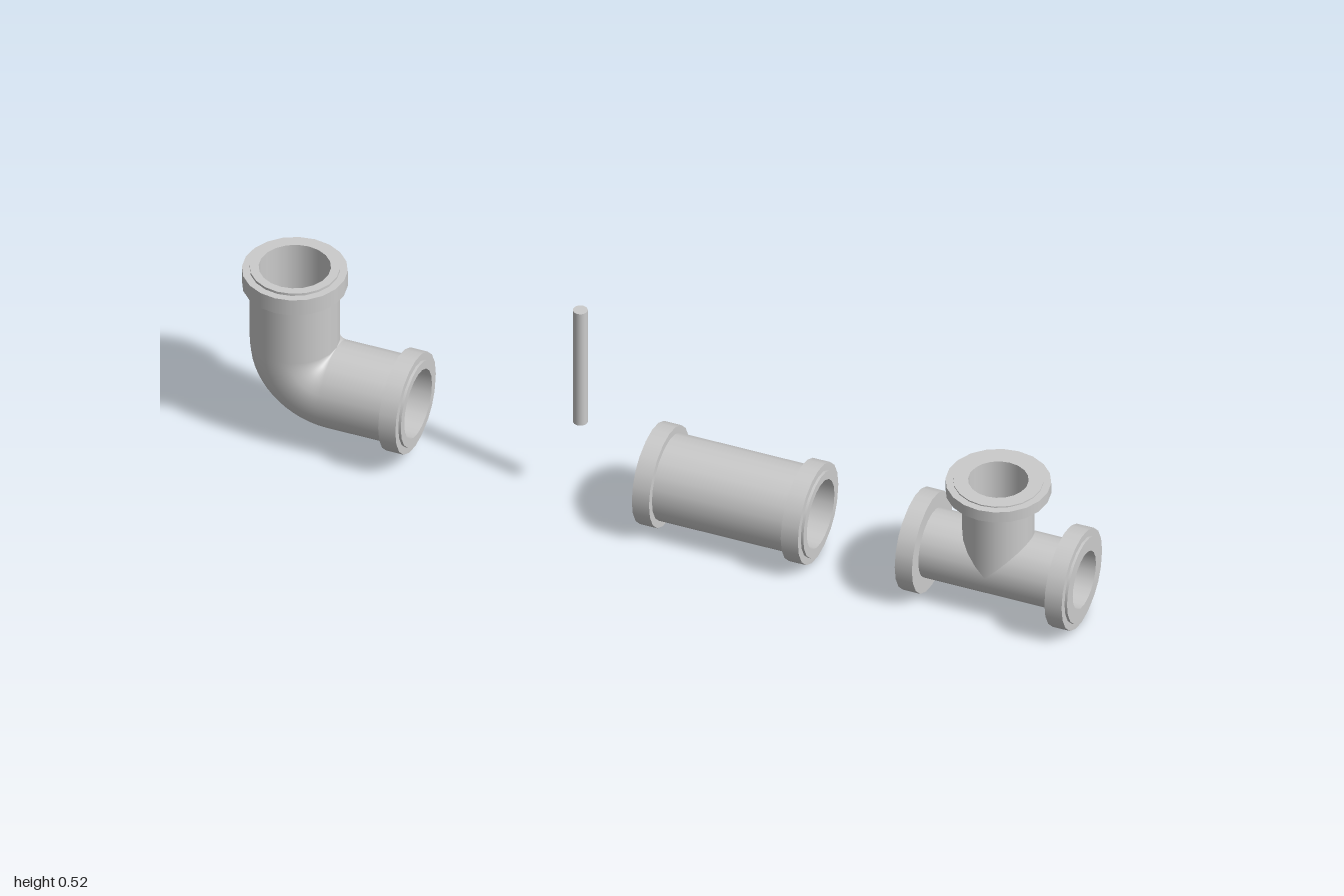
import * as THREE from 'three';
import { mergeGeometries } from 'three/addons/utils/BufferGeometryUtils.js';

const SIDES = 20;
const material = new THREE.MeshStandardMaterial({ color: 0xcccccc });
const boreMaterial = new THREE.MeshStandardMaterial({ color: 0xcccccc, side: THREE.DoubleSide });

// Flanged pipe end along +y. Each profile segment is its own lathe, so edges stay sharp.
// The open base at y = 0 is shaped by mitre(x, z).
function pipeEnd(name, { pipe, bore, length, flange = 0.117, width = 0.047, lip = 0.1, step = 0.006, mitre }) {
  const top = length - step;
  const profile = [
    [pipe, 0], [pipe, length - width], [flange, length - width], [flange, top],
    [lip, top], [lip, length], [bore, length], [bore, 0],
  ].map(([r, y]) => new THREE.Vector2(r, y));
  const rings = [];
  for (let i = 0; i < profile.length - 1; i++) {
    rings.push(new THREE.LatheGeometry([profile[i], profile[i + 1]], SIDES));
  }
  const geometry = mergeGeometries(rings);
  if (mitre) {
    const p = geometry.attributes.position;
    for (let i = 0; i < p.count; i++) {
      if (Math.abs(p.getY(i)) < 1e-6) p.setY(i, mitre(p.getX(i), p.getZ(i)));
    }
  }
  const mesh = new THREE.Mesh(geometry, material);
  mesh.name = name;
  return mesh;
}

function place(mesh, x, y, turn = 0) {
  mesh.position.set(x, y, 0);
  mesh.rotation.z = turn;
  return mesh;
}

function createElbow() {
  const elbow = new THREE.Group();
  elbow.name = 'elbowFitting';
  const size = { pipe: 0.1, bore: 0.08, length: 0.194 };
  elbow.add(place(pipeEnd('elbowTopEnd', size), -0.884, 0.247));
  elbow.add(place(pipeEnd('elbowSideEnd', size), -0.784, 0.147, -Math.PI / 2));
  // quarter bend: outer skin and bore
  for (const [name, radius, mat] of [['elbowBend', 0.1, material], ['elbowBore', 0.08, boreMaterial]]) {
    const bend = new THREE.Mesh(new THREE.TorusGeometry(0.1, radius, SIDES, 14, Math.PI / 2), mat);
    bend.name = name;
    elbow.add(place(bend, -0.784, 0.247, Math.PI));
  }
  return elbow;
}

function createStraight() {
  const straight = new THREE.Group();
  straight.name = 'straightCoupling';
  const size = { pipe: 0.1, bore: 0.08, length: 0.204 };
  for (const side of [-1, 1]) {
    const name = side > 0 ? 'couplingLeftEnd' : 'couplingRightEnd';
    straight.add(place(pipeEnd(name, size), 0.166, 0.118, -side * Math.PI / 2));
  }
  return straight;
}

function createTee() {
  const tee = new THREE.Group();
  tee.name = 'teeFitting';
  const size = { pipe: 0.08, bore: 0.067 };
  // run: upper half of each arm is mitred to meet the branch
  for (const side of [-1, 1]) {
    const arm = pipeEnd(side > 0 ? 'teeLeftArm' : 'teeRightArm', {
      ...size, length: 0.205, mitre: (x) => Math.max(0, -side * x),
    });
    tee.add(place(arm, 0.794, 0.117, -side * Math.PI / 2));
  }
  // branch with a thinner flange
  const branch = pipeEnd('teeBranch', {
    ...size, length: 0.218, width: 0.031, step: 0.003, mitre: (x) => Math.abs(x),
  });
  tee.add(place(branch, 0.794, 0.117));
  return tee;
}

export function createModel() {
  const model = new THREE.Group();
  model.name = 'pipeFittings';
  const rod = new THREE.Mesh(new THREE.CylinderGeometry(0.0165, 0.0165, 0.307, SIDES), material);
  rod.name = 'rod';
  model.add(createElbow(), place(rod, -0.203, 0.3635), createStraight(), createTee());
  return model;
}
